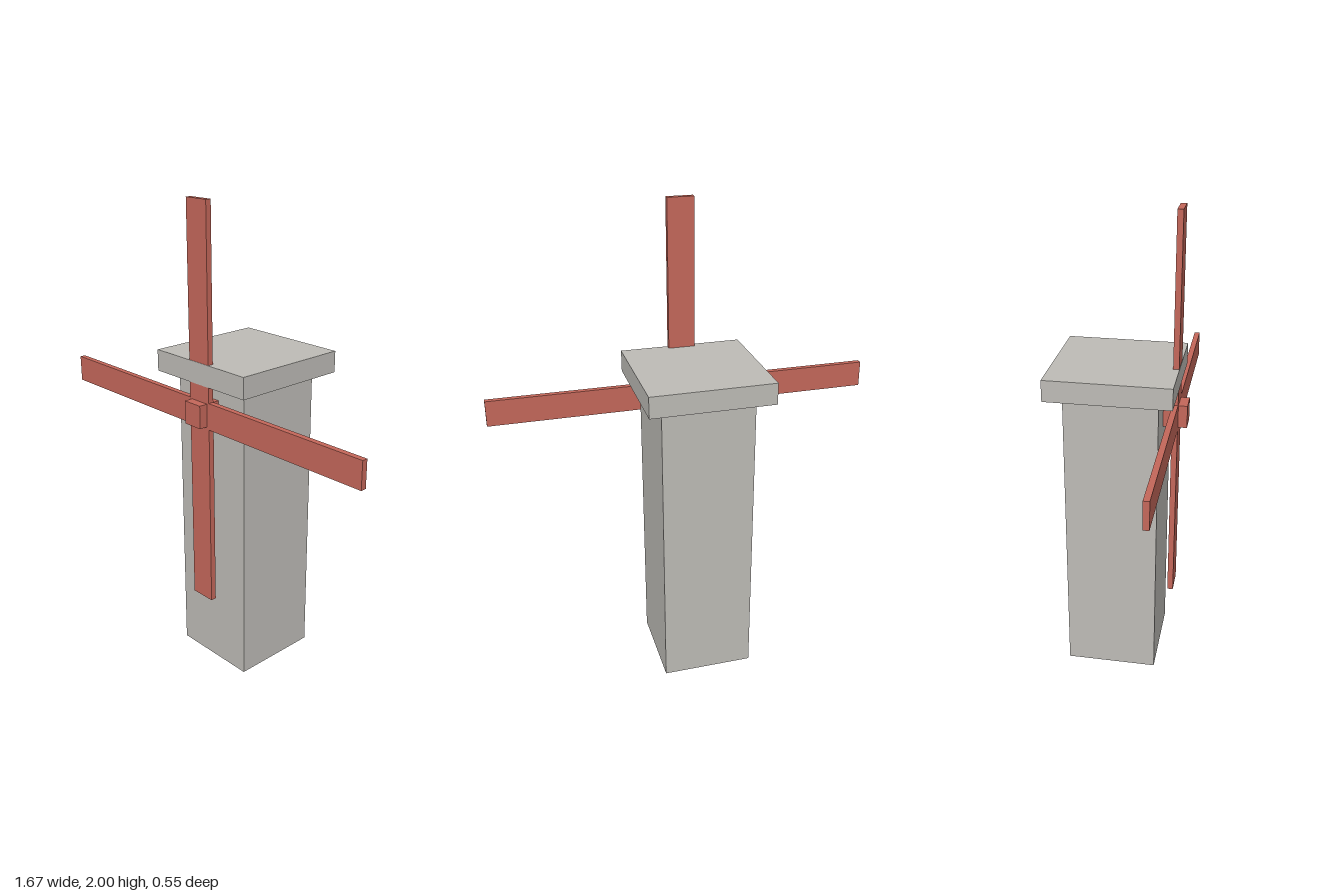
import * as THREE from 'three';

export function createModel() {
  const model = new THREE.Group();
  model.name = 'windmill';

  const stone = new THREE.MeshStandardMaterial({ color: 0xbdbbb6 });
  stone.name = 'stone grey';
  const red = new THREE.MeshStandardMaterial({ color: 0xc4675a });
  red.name = 'brick red';

  const box = (name, material, [w, h, d], [x, y, z], parent = model) => {
    const mesh = new THREE.Mesh(new THREE.BoxGeometry(w, h, d), material);
    mesh.name = name;
    mesh.position.set(x, y, z);
    parent.add(mesh);
    return mesh;
  };

  // Square tower with an overhanging slab roof
  box('tower', stone, [0.386, 1.284, 0.384], [0, 0.642, -0.015]);
  box('roof', stone, [0.513, 0.09, 0.513], [0, 1.329, -0.017]);

  // Rotor: axle block and two crossed sails
  const rotor = new THREE.Group();
  rotor.name = 'rotor';
  rotor.position.set(0, 1.163, 0.226);
  model.add(rotor);
  box('axle', red, [0.09, 0.096, 0.098], [0, 0.003, 0], rotor);
  box('uprightSail', red, [0.112, 1.674, 0.024], [0, 0, 0], rotor);
  box('crossSail', red, [1.674, 0.112, 0.024], [0, 0, 0], rotor);

  return model;
}
